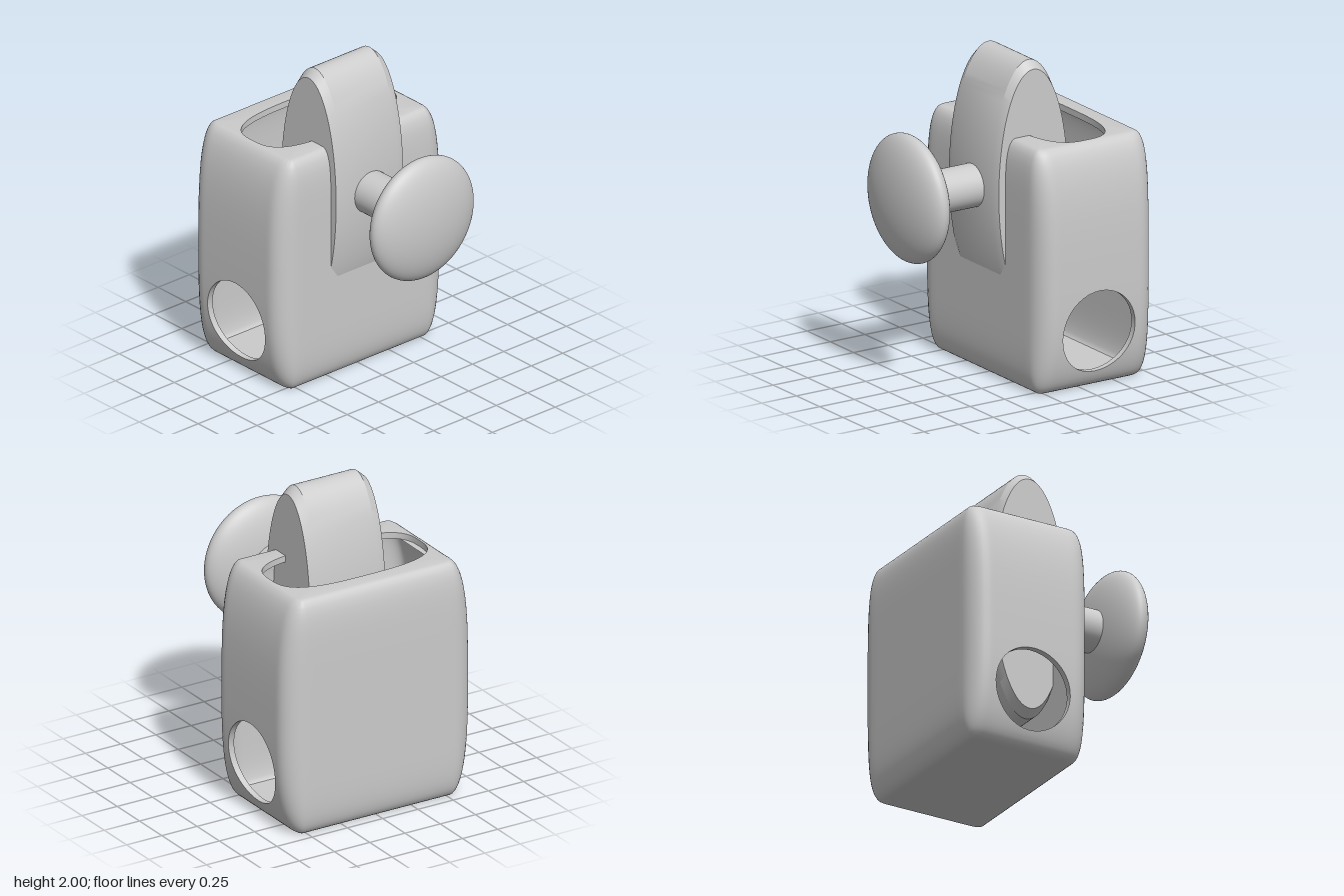
import * as THREE from 'three';
import { toCreasedNormals } from 'three/addons/utils/BufferGeometryUtils.js';

const H = 1.54, CENTRE_Z = -0.325, WALL = 0.04;
const CX = 0.52, CZ = 0.295;              // where the rounded corners begin
const HOLE_Y = 0.365, HOLE_R = 0.26;
const N = 24, RING = 6;                   // side grid size, and the ring that becomes the hole

// Half-width and half-depth of the barrel-shaped housing at a height
function halfSize(y) {
  const u = Math.abs(1 - y / (H / 2));
  return [
    0.67 - 0.14 * (1 - Math.sqrt(1 - u ** 3)),
    0.415 - 0.075 * (1 - Math.sqrt(1 - u ** 8)),
  ];
}

// Columns around half the outline; the other half is the same, negated
function outlineColumns() {
  const half = [];
  for (let i = 0; i <= N; i++) half.push({ side: i });
  for (let k = 1; k < 8; k++) half.push({ corner: 1, angle: (k / 8) * Math.PI / 2 });
  for (let k = 0; k <= 20; k++) half.push({ back: 1 - k / 10 });
  for (let k = 1; k < 8; k++) half.push({ corner: -1, angle: (1 - k / 8) * Math.PI / 2 });
  return [1, -1].flatMap((sign) => half.map((c) => ({ ...c, sign })));
}

// Heights of the rows: fine at the edges, a square grid around the hole
function rowHeights() {
  const edge = [0, 0.003, 0.012, 0.03, 0.05];
  const rows = [...edge];
  for (let j = 0; j <= N; j++) rows.push(HOLE_Y + CZ * (j / (N / 2) - 1));
  rows.push(0.8, 0.95, 1.1, 1.2, 1.28, 1.34, 1.39, 1.43, 1.46);
  edge.reverse().forEach((d) => rows.push(H - d));
  return { rows, first: edge.length };
}

// Hollow shell with an open top and a round hole through both sides
function housingGeometry() {
  const cols = outlineColumns(), { rows, first } = rowHeights();
  const nc = cols.length, nr = rows.length + 2;
  const pos = [], index = [];

  function point(c, j, t) {
    let y = rows[Math.min(Math.max(j - 1, 0), rows.length - 1)];
    let z0 = 0;
    if (c.side !== undefined) {
      // bend the square rings of the grid into circles around the hole
      const gi = c.side - N / 2, gj = j - 1 - first - N / 2;
      z0 = -CZ * gi / (N / 2);
      const ring = Math.max(Math.abs(gi), Math.abs(gj));
      if (ring >= RING && ring <= N / 2) {
        const f = (ring - RING) / (N / 2 - RING), len = Math.hypot(gi, gj);
        const square = CZ / ring;
        z0 = -gi * (f * square + (1 - f) * HOLE_R / len);
        y = HOLE_Y + gj * (f * square + (1 - f) * HOLE_R / len);
      }
    }
    const size = halfSize(y), a = size[0] - t, b = size[1] - t, cx = CX - t;
    let x, z;
    if (c.side !== undefined) { x = a; z = z0; }
    else if (c.corner) {
      x = c.corner * (cx + (a - cx) * Math.cos(c.angle));
      z = -CZ - (b - CZ) * Math.sin(c.angle);
    } else { x = cx * c.back; z = -b; }
    if (j === 0) x = z = 0;
    if (j === nr - 1) {
      // rim of the top opening
      const s = (Math.abs(x / 0.53) ** 3 + Math.abs(z / 0.252) ** 3) ** (-1 / 3);
      x *= s; z *= s;
    }
    return [c.sign * x, Math.min(Math.max(y, t), H - t), c.sign * z + CENTRE_Z];
  }

  for (const t of [0, WALL])
    for (let j = 0; j < nr; j++)
      for (const c of cols) pos.push(...point(c, j, t));

  // Outer faces, skipping the hole cells
  const outer = [];
  for (let j = 0; j < nr - 1; j++) {
    for (let i = 0; i < nc; i++) {
      const s = cols[i].side;
      if (s !== undefined && Math.max(Math.abs(s + 0.5 - N / 2),
        Math.abs(j - 0.5 - first - N / 2)) < RING) continue;
      const k = (i + 1) % nc;
      outer.push([j * nc + i, j * nc + k, (j + 1) * nc + k, (j + 1) * nc + i]);
    }
  }
  const edges = new Set();
  outer.forEach((q) => q.forEach((v, n) => edges.add(v + '_' + q[(n + 1) % 4])));

  // Inner faces are reversed, and every open edge is bridged
  const off = nc * nr;
  const quad = (a, b, c, d) => index.push(a, b, c, a, c, d);
  for (const [a, b, c, d] of outer) {
    quad(a, b, c, d);
    quad(d + off, c + off, b + off, a + off);
    [[a, b], [b, c], [c, d], [d, a]].forEach(([p, q]) => {
      if (!edges.has(q + '_' + p) && p >= nc) quad(q, p, p + off, q + off);
    });
  }
  const g = new THREE.BufferGeometry();
  g.setAttribute('position', new THREE.Float32BufferAttribute(pos, 3));
  g.setIndex(index);
  return toCreasedNormals(g, 0.6);
}

export function createModel() {
  const group = new THREE.Group();
  const material = new THREE.MeshStandardMaterial({ color: 0xcccccc });
  const add = (name, geometry, x, y, z) => {
    const mesh = new THREE.Mesh(geometry, material);
    mesh.name = name;
    mesh.position.set(x, y, z);
    group.add(mesh);
  };

  add('housing', housingGeometry(), 0, 0, 0);

  // Upright oval lever with chamfered sides
  const profile = [[0, -0.268], [0.94, -0.268], [1, -0.215], [1, 0.215], [0.94, 0.268], [0, 0.268]]
    .map(([r, h]) => new THREE.Vector2(r, h));
  const lever = new THREE.LatheGeometry(profile, 96).rotateZ(-Math.PI / 2).scale(1, 0.805, 0.265);
  add('lever', toCreasedNormals(lever, 0.4), 0, 1.195, -0.113);

  // Round stem and flattened knob on the front
  add('stem', new THREE.CylinderGeometry(0.134, 0.134, 0.5, 48).rotateX(Math.PI / 2), 0, 1.197, 0.33);
  add('knob', new THREE.SphereGeometry(1, 64, 40).rotateX(Math.PI / 2).scale(0.4, 0.4, 0.13), 0, 1.197, 0.607);

  return group;
}
